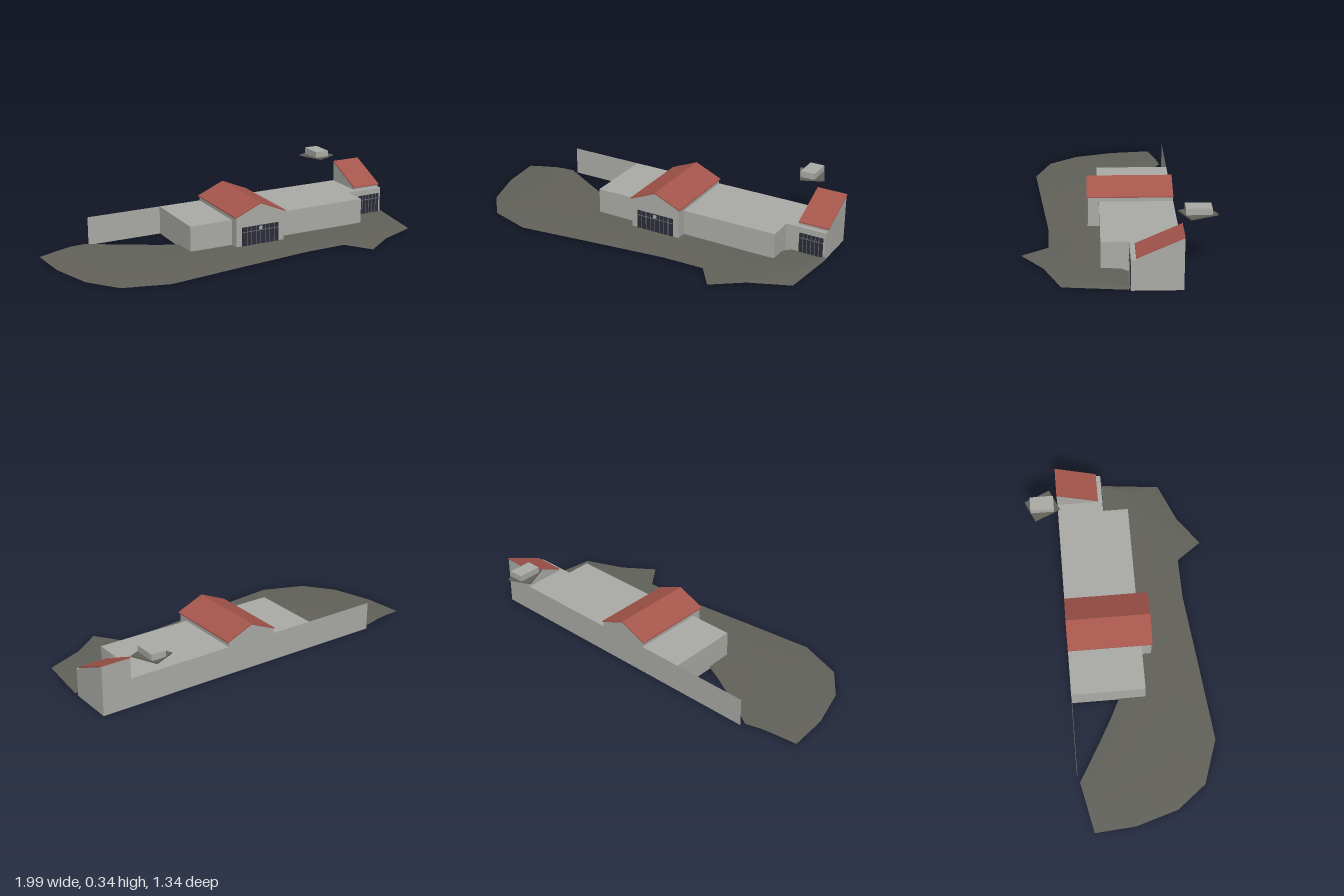
import * as THREE from 'three';

const D = THREE.DoubleSide;
const mat = (name, color) => new THREE.MeshStandardMaterial({ name, color, side: D });

export function createModel() {
  const wall = mat('wall grey', 0xabaca7);
  const red = mat('roof red', 0xa6564c);
  const pave = mat('paving grey', 0x62625b);
  const glass = mat('dark glass', 0x2b2d38);
  const frame = mat('frame grey', 0x74757a);

  const model = new THREE.Group();
  model.name = 'stationBuilding';
  // Building axes: x along the back wall, z towards the street
  const building = new THREE.Group();
  building.name = 'building';
  building.position.set(-0.2005, 0, -0.436);
  building.rotation.y = -0.4206;
  model.add(building);

  const add = (parent, name, geo, material) => {
    const m = new THREE.Mesh(geo, material);
    m.name = name;
    parent.add(m);
    return m;
  };
  // Box from min to max corners
  const box = (parent, name, a, b, material, open = false) => {
    const g = new THREE.BoxGeometry(b[0] - a[0], b[1] - a[1], b[2] - a[2]);
    g.translate((a[0] + b[0]) / 2, (a[1] + b[1]) / 2, (a[2] + b[2]) / 2);
    if (open) { // leave out the underside
      const i = Array.from(g.index.array);
      i.splice(18, 6);
      g.setIndex(i);
      g.clearGroups();
    }
    return add(parent, name, g, material);
  };
  const extrude = (pts, depth) => new THREE.ExtrudeGeometry(
    new THREE.Shape(pts.map(p => new THREE.Vector2(...p))), { depth, bevelEnabled: false });

  // Low wings and the free-standing back wall
  box(building, 'leftWing', [0, 0, 0], [0.25, 0.16, 0.405], wall, true);
  box(building, 'rightWing', [0.54, 0, 0], [1.08, 0.16, 0.4], wall, true);
  box(building, 'linkWing', [1.08, 0, 0], [1.14, 0.16, 0.258], wall, true);
  const back = add(building, 'backWall', new THREE.PlaneGeometry(0.428, 0.16), wall);
  back.position.set(-0.214, 0.08, 0);

  // Central gabled hall
  add(building, 'hall', extrude(
    [[0.248, 0], [0.54, 0], [0.54, 0.188], [0.394, 0.25], [0.248, 0.188]], 0.46), wall);
  add(building, 'hallRoof', extrude([[0.24, 0.184], [0.394, 0.25], [0.548, 0.184],
    [0.548, 0.191], [0.394, 0.257], [0.24, 0.191]], 0.465), red);

  // End tower with single-pitch roof; profile points are [z, y]
  const sideways = (pts, x0, x1) =>
    extrude(pts.map(([z, y]) => [-z, y]), x1 - x0).rotateY(Math.PI / 2).translate(x0, 0, 0);
  add(building, 'tower', sideways([[0, 0], [0, 0.274], [0.232, 0.17],
    [0.232, 0.16], [0.258, 0.16], [0.258, 0]], 1.14, 1.305), wall);
  add(building, 'towerRoof', sideways(
    [[0, 0.274], [0, 0.281], [0.233, 0.177], [0.233, 0.17]], 1.138, 1.309), red);

  // Glazed entrances with mullions
  const entrance = (name, x, z, w, n) => {
    const g = new THREE.Group();
    g.name = name;
    g.position.set(x, 0, z);
    building.add(g);
    const h = 0.127, t = 0.0025;
    box(g, 'glazing', [-w / 2, 0, 0], [w / 2, h, 0.003], glass);
    for (let i = 1; i < n; i++) {
      const c = -w / 2 + (w * i) / n;
      box(g, 'mullion', [c - t / 2, 0, 0.003], [c + t / 2, h, 0.005], frame);
    }
    box(g, 'transom', [-w / 2, 0.098, 0.003], [w / 2, 0.101, 0.005], frame);
    return g;
  };
  const main = entrance('hallEntrance', 0.394, 0.46, 0.222, 8);
  box(main, 'plaque', [-0.009, 0.104, 0.003], [0.009, 0.122, 0.006], wall);
  entrance('towerEntrance', 1.225, 0.258, 0.136, 6);

  // Raised plate with a turned block on it
  box(model, 'raisedPlate', [0.742, 0.302, -0.152], [0.874, 0.309, 0.002], pave);
  const block = add(model, 'raisedBlock', new THREE.BoxGeometry(0.082, 0.034, 0.131), wall);
  block.position.set(0.808, 0.326, -0.076);
  block.rotation.y = -0.4206;

  // Forecourt: outer edge and inner edge joined by rows
  const edge = [
    [-0.895, -0.67, -0.617, -0.61], [-0.97, -0.457, -0.56, -0.53], [-1, -0.217, -0.48, -0.42],
    [-0.95, -0.02, -0.39, -0.3], [-0.762, 0.152, -0.305, -0.198], [-0.35, 0.284, -0.24, -0.1],
    [0.045, 0.409, 0.121, 0.069], [0.26, 0.5, 0.35, 0.171], [0.295, 0.665, 0.505, 0.24],
    [0.49, 0.623, 0.623, 0.294], [0.725, 0.628, 0.733, 0.244], [0.89, 0.345, 0.885, 0.32]];
  const rise = [0.01, 0.02, 0.021, 0.014];
  const pos = [], idx = [];
  edge.forEach(([x0, z0, x1, z1], i) => {
    for (let r = 0; r < 4; r++) {
      const x = x0 + (x1 - x0) * r / 3, z = z0 + (z1 - z0) * r / 3;
      const k = THREE.MathUtils.clamp((x + 1) / 0.32, 0.1, 1);
      pos.push(x, rise[r] * k, z);
      if (i && r) {
        const a = i * 4 + r, b = a - 4;
        idx.push(b - 1, a - 1, a, b - 1, a, b);
      }
    }
  });
  const ground = new THREE.BufferGeometry();
  ground.setAttribute('position', new THREE.Float32BufferAttribute(pos, 3));
  ground.setIndex(idx);
  ground.computeVertexNormals();
  add(model, 'forecourt', ground, pave);

  return model;
}
